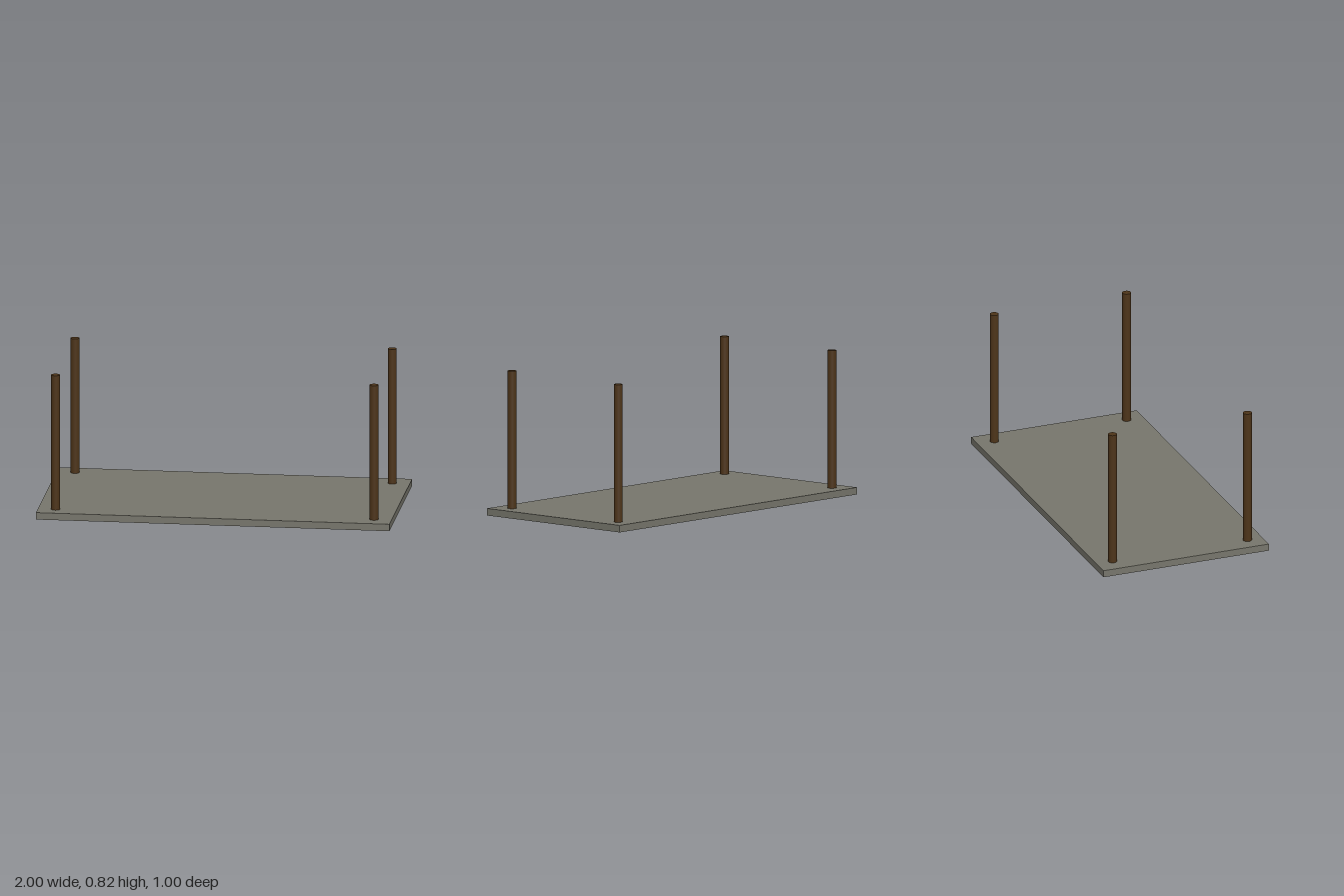
import * as THREE from 'three';

const SLAB_HEIGHT = 0.04;
const POST_HEIGHT = 0.78;
const POST_RADIUS = 0.025;

export function createModel() {
  const model = new THREE.Group();
  model.name = 'postedPlatform';

  const stone = new THREE.MeshStandardMaterial({ color: 0x77766c });
  const wood = new THREE.MeshStandardMaterial({ color: 0x4d3419 });

  // Flat slab
  const slab = new THREE.Mesh(new THREE.BoxGeometry(2, SLAB_HEIGHT, 1), stone);
  slab.name = 'slab';
  slab.position.y = SLAB_HEIGHT / 2;
  model.add(slab);

  // Four posts, set slightly unevenly near the corners
  const postGeometry = new THREE.CylinderGeometry(POST_RADIUS, POST_RADIUS, POST_HEIGHT, 24);
  const posts = [
    ['frontLeftPost', 0.9, 0.4],
    ['frontRightPost', -0.9, 0.41],
    ['backLeftPost', 0.9, -0.4],
    ['backRightPost', -0.895, -0.403],
  ];
  for (const [name, x, z] of posts) {
    const post = new THREE.Mesh(postGeometry, wood);
    post.name = name;
    post.position.set(x, SLAB_HEIGHT + POST_HEIGHT / 2, z);
    model.add(post);
  }

  return model;
}
